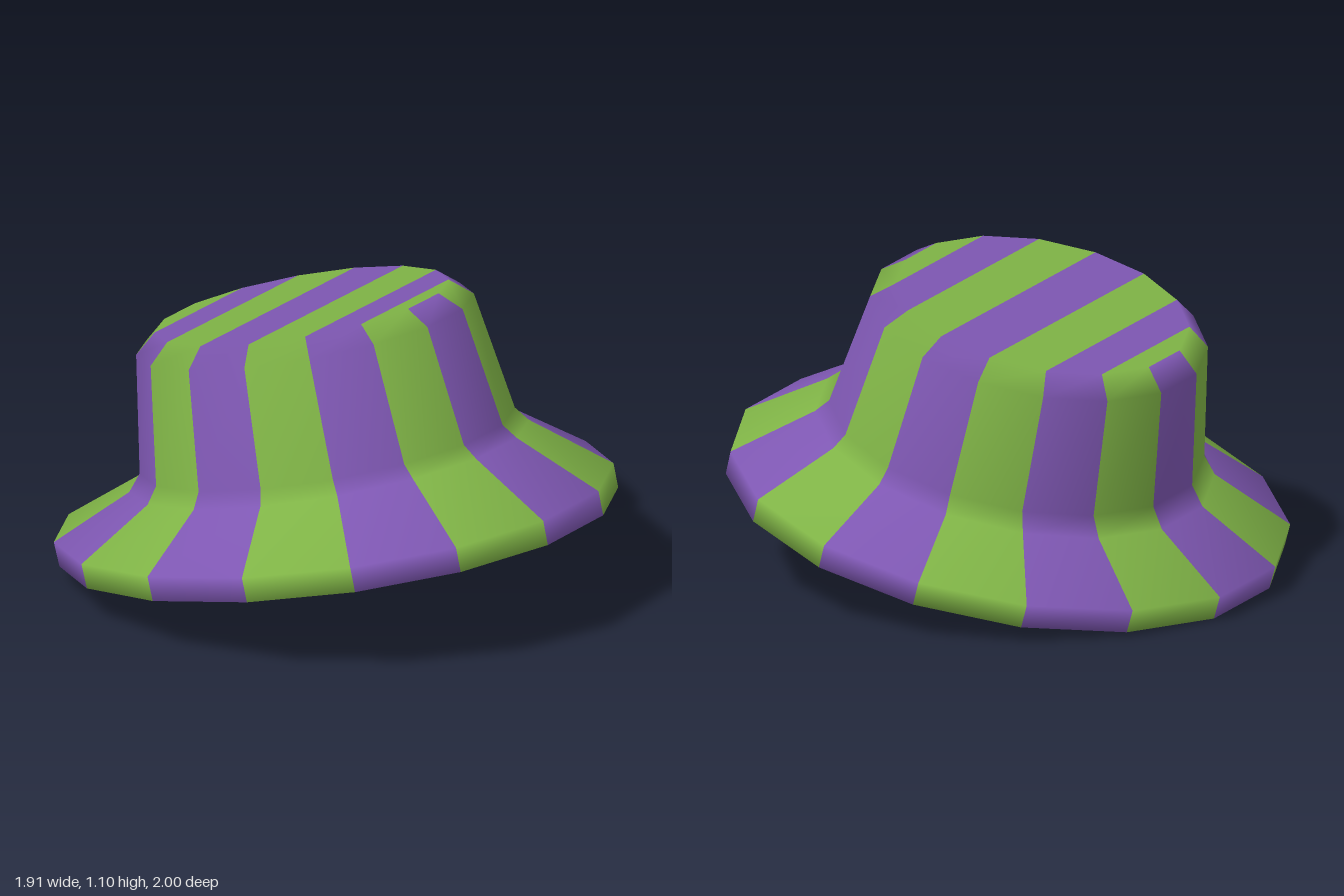
import * as THREE from 'three';

const SIDES = 16;

// Rings up the outside: half-width x, half-depth z, height, z shift, forward lift
const OUTSIDE = [
  { rx: 0.955, rz: 1.006, h: 0.0, cz: 0, lift: 0 },           // rim, lower edge
  { rx: 0.955, rz: 1.009, h: 0.087, cz: -0.008, lift: 0 },    // rim, upper edge
  { rx: 0.695, rz: 0.715, h: 0.257, cz: 0.004, lift: 0.036 }, // brim, inner edge
  { rx: 0.66, rz: 0.663, h: 0.313, cz: 0.006, lift: 0.027 },  // foot of the crown
  { rx: 0.597, rz: 0.595, h: 0.732, cz: -0.018, lift: 0.028 }, // shoulder
  { rx: 0.52, rz: 0.517, h: 0.797, cz: -0.022, lift: 0.0235 }, // top edge
];

// Rings down the inside: a deep crown above a nearly flat underside
const LINING = [
  { rx: 0.5, rz: 0.497, h: 0.741, cz: -0.022, lift: 0.0235 }, // inner top edge
  { rx: 0.545, rz: 0.543, h: 0.702, cz: -0.018, lift: 0.028 }, // inner shoulder
  { rx: 0.65, rz: 0.655, h: 0.115, cz: 0.004, lift: 0.01 },   // mouth of the crown
  { rx: 0.895, rz: 0.942, h: 0.05, cz: -0.004, lift: 0 },     // inner rim, upper edge
  { rx: 0.895, rz: 0.946, h: 0.0, cz: 0, lift: 0 },           // inner rim, lower edge
];

// One continuous run: down the lining, round the rim, up the outside
const RINGS = [...LINING, ...OUTSIDE];
const RIM = LINING.length;
const LAST = RINGS.length - 1;

const vertex = (ring, k) => ring * SIDES + ((k % SIDES) + SIDES) % SIDES;
const quad = (a, b, c, d) => [a, b, c, a, c, d];

// Striped wall between two ring numbers: lists of indices, [purple, green]
function wall(from, to) {
  const lists = [[], []];
  for (let i = from; i < to; i++) {
    for (let k = 0; k < SIDES; k++) {
      lists[k % 2].push(...quad(vertex(i, k), vertex(i, k + 1), vertex(i + 1, k + 1), vertex(i + 1, k)));
    }
  }
  return lists;
}

// Flat top, cut into parallel stripes between opposite corners
function topStripes(r, facingDown) {
  const lists = [[], []];
  for (let j = 0; j < SIDES / 2 - 1; j++) {
    const corners = [vertex(r, -j), vertex(r, j + 1), vertex(r, j + 2), vertex(r, -j - 1)];
    if (facingDown) corners.reverse();
    lists[(j + 1) % 2].push(...quad(...corners));
  }
  return lists;
}

export function createModel() {
  const purple = new THREE.MeshStandardMaterial({ color: 0x7e57b2 });
  purple.name = 'purple cloth';
  const green = new THREE.MeshStandardMaterial({ color: 0x7fb346 });
  green.name = 'green cloth';

  // Shared points, so the shading runs smoothly from part to part
  const points = [];
  for (const { rx, rz, h, cz, lift } of RINGS) {
    for (let k = 0; k < SIDES; k++) {
      const a = (k / SIDES) * Math.PI * 2;
      points.push(rx * Math.sin(a), h + lift * Math.cos(a), cz + rz * Math.cos(a));
    }
  }
  const parts = {
    liningTop: topStripes(0, true),
    liningCrown: wall(0, 2),
    brimUnderside: wall(2, RIM - 1),
    rimEdge: wall(RIM - 1, RIM),
    brim: wall(RIM, RIM + 2),
    crown: wall(RIM + 2, LAST),
    crownTop: topStripes(LAST, false),
  };
  const whole = new THREE.BufferGeometry();
  whole.setAttribute('position', new THREE.Float32BufferAttribute(points, 3));
  whole.setIndex(Object.values(parts).flat(2));
  whole.computeVertexNormals();

  // Keep both faces of the top evenly flat
  for (const [r, sign] of [[0, -1], [LAST, 1]]) {
    const n = new THREE.Vector3(0, RINGS[r].rz, -RINGS[r].lift).normalize().multiplyScalar(sign);
    for (let k = 0; k < SIDES; k++) {
      whole.attributes.normal.setXYZ(vertex(r, k), n.x, n.y, n.z);
    }
  }

  const hat = new THREE.Group();
  hat.name = 'hat';
  for (const [name, [first, second]] of Object.entries(parts)) {
    const geometry = new THREE.BufferGeometry();
    geometry.setAttribute('position', whole.attributes.position.clone());
    geometry.setAttribute('normal', whole.attributes.normal.clone());
    geometry.setIndex([...first, ...second]);
    geometry.addGroup(0, first.length, 0);
    geometry.addGroup(first.length, second.length, 1);
    const mesh = new THREE.Mesh(geometry, [purple, green]);
    mesh.name = name;
    hat.add(mesh);
  }

  // The hat leans back, front edge raised
  hat.rotation.x = -Math.atan2(0.39, 1.97);
  hat.position.set(0, 0.196, 0.013);

  const model = new THREE.Group();
  model.name = 'stripedBucketHat';
  model.add(hat);
  return model;
}
